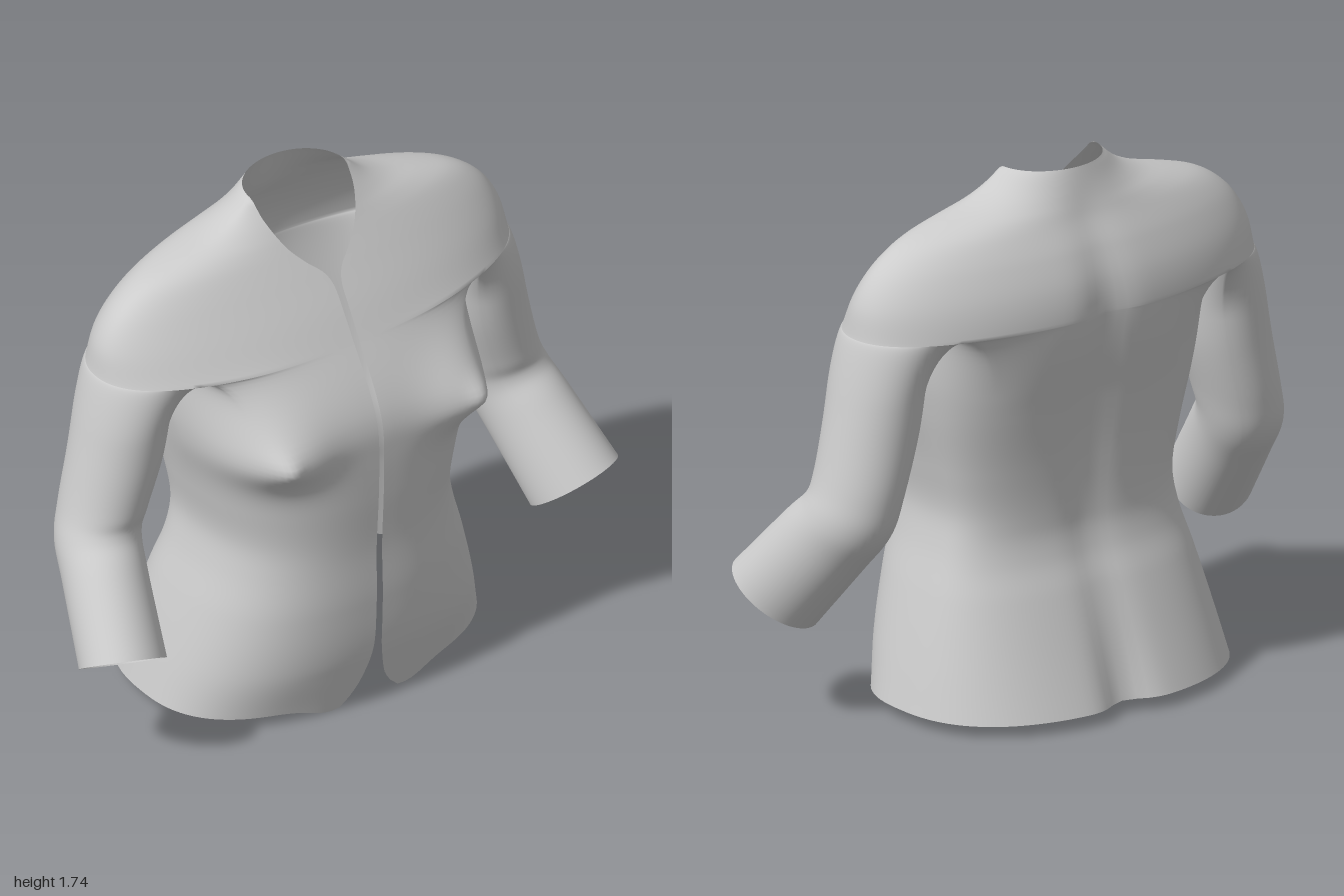
import * as THREE from 'three';
import { mergeGeometries, mergeVertices } from 'three/addons/utils/BufferGeometryUtils.js';

// Smooth curve through [position, value] pairs
function curve(...k) {
  const slope = (i) => {
    const a = k[Math.max(i - 1, 0)], b = k[Math.min(i + 1, k.length - 1)];
    return (b[1] - a[1]) / (b[0] - a[0]);
  };
  return (y) => {
    let i = 0;
    while (i < k.length - 2 && y > k[i + 1][0]) i++;
    const h = k[i + 1][0] - k[i][0], s = THREE.MathUtils.clamp((y - k[i][0]) / h, 0, 1);
    const s2 = s * s, s3 = s2 * s;
    return (2 * s3 - 3 * s2 + 1) * k[i][1] + (s3 - 2 * s2 + s) * h * slope(i)
      + (3 * s2 - 2 * s3) * k[i + 1][1] + (s3 - s2) * h * slope(i + 1);
  };
}

const HEM = 0.04, ARMPIT = 1.3, TOP = 1.74, MID_Z = -0.04, COLS = 72;
const gauss = (d) => Math.exp(-d * d);

// Outline of the garment by height
const torsoWidth = curve([0.04, 0.59], [0.2, 0.55], [0.4, 0.495], [0.55, 0.45], [0.66, 0.433],
  [0.8, 0.455], [1, 0.5], [1.15, 0.525], [1.3, 0.53]);
const shoulderWidth = curve([1.3, 0.765], [1.4, 0.745], [1.48, 0.7], [1.54, 0.635], [1.58, 0.56],
  [1.61, 0.46], [1.64, 0.345], [1.68, 0.255], [1.74, 0.18]);
const frontZ = curve([0.04, 0.345], [0.2, 0.388], [0.4, 0.402], [0.6, 0.4], [0.8, 0.41], [0.95, 0.412],
  [1.05, 0.405], [1.15, 0.37], [1.3, 0.28], [1.4, 0.22], [1.5, 0.155], [1.6, 0.09], [1.68, 0.045], [1.74, 0]);
const backZ = curve([0.04, -0.46], [0.2, -0.395], [0.4, -0.315], [0.5, -0.272], [0.6, -0.252], [0.8, -0.262],
  [1, -0.295], [1.2, -0.345], [1.3, -0.355], [1.4, -0.34], [1.5, -0.3], [1.6, -0.245], [1.74, -0.19]);
const squareness = curve([0.04, 0.8], [0.6, 0.75], [1, 0.75], [1.3, 0.93], [1.5, 1], [1.74, 1]);
const opening = curve([0.04, 0.11], [0.06, 0.075], [0.1, 0.045], [0.2, 0.018], [0.3, 0.012], [1.44, 0.012],
  [1.5, 0.03], [1.55, 0.085], [1.6, 0.13], [1.68, 0.17], [1.74, 0.18]);
const spineDepth = curve([0.04, 0.05], [0.3, 0.025], [0.6, 0.015], [1.2, 0.03], [1.5, 0.015], [1.74, 0]);

// Point on the left half: c runs from the front edge (0) to the back centre (1)
function section(c, y, width) {
  const p = squareness(y);
  const start = Math.asin(Math.min(1, (opening(y) / width) ** (1 / p)));
  const a = start + (Math.PI - start) * c;
  const co = Math.cos(a);
  let x = c === 1 ? 0 : width * Math.abs(Math.sin(a)) ** p;
  const depth = Math.abs(co) ** p;
  let z = MID_Z + depth * ((co > 0 ? frontZ(y) : backZ(y)) - MID_Z);
  if (co > 0) {
    // Bust
    const dy = y - 1.03, dx = x - 0.35;
    const mound = gauss(Math.hypot(dx / 0.15, dy / (dy > 0 ? 0.15 : 0.1)));
    z += 0.09 * mound + 0.03 * gauss(Math.hypot(dx, dy - 0.015) / 0.045);
    x += 0.02 * mound;
  } else {
    // Groove along the spine
    z += spineDepth(y) * gauss(x / 0.08) * depth;
  }
  // Dipped front corners of the hem
  const dip = co > 0 ? 0.04 * gauss((x - 0.14) / 0.1) * Math.max(0, 1 - (y - HEM) / 0.12) : 0;
  return new THREE.Vector3(x, y - dip, z);
}

// Quad grid over rows of points
function grid(rows, flip = false) {
  const n = rows[0].length, index = [];
  for (let j = 0; j < rows.length - 1; j++) {
    for (let i = 0; i < n - 1; i++) {
      const a = j * n + i, b = a + 1, c = b + n, d = a + n;
      if (flip) index.push(a, c, b, a, d, c);
      else index.push(a, b, c, a, c, d);
    }
  }
  const geo = new THREE.BufferGeometry().setFromPoints(rows.flat());
  geo.setIndex(index);
  return geo;
}

function mirrored(geo) {
  const m = geo.clone().scale(-1, 1, 1), ix = m.index.array;
  for (let i = 0; i < ix.length; i += 3) [ix[i], ix[i + 1]] = [ix[i + 1], ix[i]];
  return m;
}

const steps = (n, fn) => Array.from({ length: n + 1 }, (_, i) => fn(i / n, i));

function halfGeometry() {
  // Ring at armpit height, shared by shoulders, torso and sleeve
  const ring = steps(COLS, (c) => section(c, ARMPIT, shoulderWidth(ARMPIT)));
  const iF = ring.findIndex((p) => p.x > 0.52);
  let iB = COLS;
  while (ring[iB].x < 0.52) iB--;
  const n = iB - iF;
  const saddle = steps(n, (s) => ring[iF].clone().lerp(ring[iB], s)
    .add(new THREE.Vector3(0, 0.02 * Math.sin(Math.PI * s), 0)));
  const torsoTop = ring.map((p, i) => (i >= iF && i <= iB ? saddle[i - iF] : p));

  // Shoulders and neck
  const shoulders = steps(44, (s) => {
    const y = ARMPIT + (TOP - ARMPIT) * s;
    return steps(COLS, (c) => section(c, y, shoulderWidth(y)));
  });

  // Torso, widening into the armpit ring
  const torso = steps(72, (s) => {
    const y = HEM + (ARMPIT - HEM) * s;
    const m = Math.max(0, (y - 1.08) / (ARMPIT - 1.08)) ** 2;
    return steps(COLS, (c, i) => section(c, y, torsoWidth(y)).lerp(torsoTop[i], m));
  });

  // Sleeve: centre x, y, z, radius across, radius fore-aft, tilt, slant
  const keys = [
    [0.65, 1.3, -0.04, 0.135, 0.19, 0, 0],
    [0.665, 1.18, -0.035, 0.137, 0.175, 0, 0],
    [0.695, 1.0, -0.035, 0.142, 0.163, 0.05, 0.05],
    [0.742, 0.82, -0.035, 0.135, 0.155, 0.18, 0.1],
    [0.772, 0.72, -0.02, 0.135, 0.15, 0.4, 0.15],
    [0.802, 0.62, 0.06, 0.135, 0.15, 0.55, 0.2],
    [0.858, 0.41, 0.235, 0.142, 0.152, 0.6, 0.28],
  ];
  const tracks = keys[0].map((_, k) => curve(...keys.map((key, i) => [i, key[k]])));
  const sleeveTop = [...ring.slice(iF, iB + 1), ...saddle.slice(0, -1).reverse()];
  const spread = 2.2;
  const sleeve = steps(48, (s) => {
    const u = s * (keys.length - 1);
    const [x, y, z, rx, rz, tilt, slant] = tracks.map((t) => t(u));
    const m = THREE.MathUtils.smoothstep(u, 0, 1.4);
    return sleeveTop.map((top, i) => {
      const a = i <= n ? spread - 2 * spread * i / n
        : -spread - (2 * Math.PI - 2 * spread) * (i - n) / n;
      const across = rx * Math.cos(a), fore = rz * Math.sin(a);
      const p = new THREE.Vector3(x + across, y + across * slant + fore * Math.sin(tilt), z + fore * Math.cos(tilt));
      return top.clone().lerp(p, m);
    });
  });

  return mergeGeometries([grid(shoulders), grid(torso), grid(sleeve, true)]);
}

export function createModel() {
  const group = new THREE.Group();
  group.name = 'openJacket';
  // Both halves welded into one smooth shell
  const half = halfGeometry();
  const shell = mergeVertices(mergeGeometries([half, mirrored(half)]), 1e-4);
  shell.computeVertexNormals();
  const jacket = new THREE.Mesh(shell,
    new THREE.MeshStandardMaterial({ color: 0xcccccc, side: THREE.DoubleSide }));
  jacket.name = 'jacketShell';
  group.add(jacket);
  return group;
}
